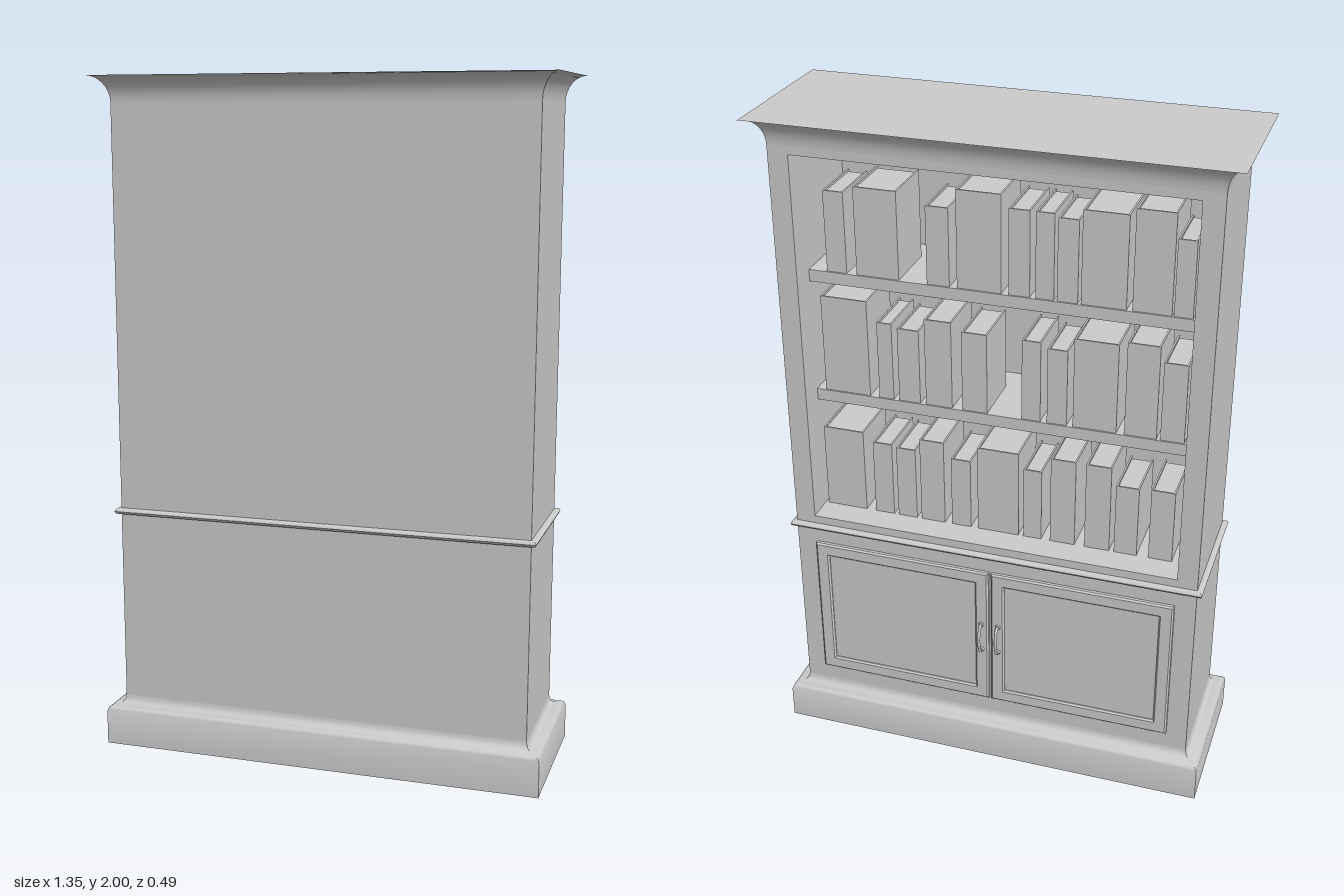
import * as THREE from 'three';
import { toCreasedNormals } from 'three/addons/utils/BufferGeometryUtils.js';

const W = 0.62, D = 0.19;        // half width and half depth of the carcass
const IN = 0.56, BACK = 0.16;    // half width and back plane of the open part
const mat = new THREE.MeshStandardMaterial({ color: 0xcccccc });

function add(parent, name, geometry, x = 0, y = 0, z = 0) {
  const m = new THREE.Mesh(geometry, mat);
  m.name = name;
  m.position.set(x, y, z);
  parent.add(m);
  return m;
}

// Box given by its min / max limits
function block(parent, name, x0, x1, y0, y1, z0, z1) {
  return add(parent, name, new THREE.BoxGeometry(x1 - x0, y1 - y0, z1 - z0),
    (x0 + x1) / 2, (y0 + y1) / 2, (z0 + z1) / 2);
}

// Moulding: a profile of [offset, y], bottom to top, mitred around the carcass
function moulding(profile) {
  const corners = [[1, 1], [1, -1], [-1, -1], [-1, 1]];
  const pos = [];
  const pt = ([o, y], c) => [corners[c % 4][0] * (W + o), y, corners[c % 4][1] * (D + o)];
  const quad = (a, b, c, d) => pos.push(...a, ...b, ...c, ...a, ...c, ...d);
  for (let i = 0; i < profile.length - 1; i++) {
    for (let c = 0; c < 4; c++) {
      quad(pt(profile[i], c), pt(profile[i], c + 1), pt(profile[i + 1], c + 1), pt(profile[i + 1], c));
    }
  }
  const low = profile[0], top = profile[profile.length - 1];
  quad(pt(top, 0), pt(top, 1), pt(top, 2), pt(top, 3));
  quad(pt(low, 3), pt(low, 2), pt(low, 1), pt(low, 0));
  const g = new THREE.BufferGeometry();
  g.setAttribute('position', new THREE.Float32BufferAttribute(pos, 3));
  return toCreasedNormals(g, 0.6);
}

// Quarter-circle hollow flaring outwards to the top
function cove(y0, y1, reach, n = 8) {
  return Array.from({ length: n + 1 }, (_, i) => {
    const a = (i / n) * Math.PI / 2;
    return [reach * (1 - Math.cos(a)), y0 + (y1 - y0) * Math.sin(a)];
  });
}

// Book: two covers, a spine facing the front and a lower block of pages
function book(parent, x, width, y, height) {
  const g = new THREE.Group();
  g.name = 'book';
  const h = width / 2, t = 0.005, z0 = -0.105, z1 = 0.075;
  block(g, 'spine', -h, h, 0, height, z0, z0 + t);
  for (const s of [-1, 1]) {
    const c = s * (h - t / 2);
    block(g, 'cover', c - t / 2, c + t / 2, 0, height, z0 + t, z1);
  }
  block(g, 'pages', -h + t, h - t, 0.005, height - 0.006, z0 + t, z1 - 0.006);
  g.position.set(x, y, 0);
  parent.add(g);
}

function rect(path, w, h) {
  path.moveTo(-w, -h);
  path.lineTo(w, -h);
  path.lineTo(w, h);
  path.lineTo(-w, h);
  path.closePath();
  return path;
}

// Door with a bevelled frame, sunk panel and bow handle; side is +1 or -1
function door(parent, side) {
  const g = new THREE.Group();
  g.name = side > 0 ? 'leftDoor' : 'rightDoor';
  const w = 0.277, h = 0.235, border = 0.042;
  const shape = rect(new THREE.Shape(), w, h);
  shape.holes.push(rect(new THREE.Path(), w - border, h - border));
  const bevel = 0.005;
  add(g, 'doorFrame', new THREE.ExtrudeGeometry(shape, {
    depth: 0.009, bevelThickness: bevel, bevelSize: bevel, bevelOffset: -bevel, bevelSegments: 1,
  }));
  const pw = w - border, ph = h - border;
  block(g, 'doorPanel', -pw - 0.004, pw + 0.004, -ph - 0.004, ph + 0.004, 0, 0.006);

  // Bow handle near the meeting edge
  const hx = side * (w - 0.022), front = 0.014;
  const curve = new THREE.CatmullRomCurve3([
    [-0.048, 0], [-0.042, 0.014], [-0.022, 0.022], [0, 0.024], [0.022, 0.022], [0.042, 0.014], [0.048, 0],
  ].map(([y, z]) => new THREE.Vector3(0, y, z)));
  add(g, 'handle', new THREE.TubeGeometry(curve, 24, 0.0045, 8), hx, 0, front);
  for (const s of [-1, 1]) {
    const foot = add(g, 'handleFoot', new THREE.CylinderGeometry(0.007, 0.009, 0.006, 12), hx, s * 0.047, front + 0.002);
    foot.rotation.x = Math.PI / 2;
  }
  g.rotation.y = Math.PI;
  g.position.set(side * 0.281, 0.435, -D);
  parent.add(g);
}

export function createModel() {
  const model = new THREE.Group();
  model.name = 'bookcase';

  // Carcass, open towards -z
  block(model, 'cupboard', -W, W, 0.12, 0.76, -D, D);
  block(model, 'topRail', -W, W, 1.9, 1.96, -D, D);
  block(model, 'backPanel', -IN, IN, 0.76, 1.9, BACK, D);
  block(model, 'leftSide', IN, W, 0.76, 1.9, -D, D);
  block(model, 'rightSide', -W, -IN, 0.76, 1.9, -D, D);

  // Mouldings
  add(model, 'plinth', moulding([[0.045, 0], [0.045, 0.1], [0.0435, 0.108], [0.04, 0.114], [0.034, 0.118],
    [0.018, 0.12], [0.01, 0.123], [0.004, 0.129], [0.001, 0.137], [0, 0.145]]));
  add(model, 'waistBand', moulding([[0, 0.717], [0.01, 0.718], [0.014, 0.721], [0.016, 0.726],
    [0.014, 0.731], [0.01, 0.734], [0, 0.735]]));
  add(model, 'crown', moulding(cove(1.925, 2, 0.053)));

  // Shelves
  const floors = [0.76, 1.157, 1.537];
  for (const y of floors.slice(1)) block(model, 'shelf', -IN, IN, y - 0.036, y, -0.11, BACK);

  // Books per shelf: [centre x, width, height]
  const rows = [
    [[0.487, 0.126, 0.267], [0.364, 0.06, 0.24], [0.29, 0.06, 0.234], [0.208, 0.075, 0.274], [0.118, 0.06, 0.226],
      [0.003, 0.126, 0.277], [-0.103, 0.055, 0.23], [-0.195, 0.075, 0.28], [-0.3, 0.075, 0.28],
      [-0.386, 0.068, 0.225], [-0.49, 0.07, 0.23]],
    [[0.463, 0.14, 0.3], [0.342, 0.045, 0.24], [0.27, 0.065, 0.23], [0.18, 0.08, 0.27], [0.072, 0.075, 0.247],
      [-0.096, 0.055, 0.248], [-0.172, 0.058, 0.233], [-0.282, 0.126, 0.274], [-0.414, 0.092, 0.285],
      [-0.505, 0.068, 0.24]],
    [[0.476, 0.06, 0.24], [0.353, 0.126, 0.26], [0.174, 0.066, 0.23], [0.055, 0.128, 0.286], [-0.06, 0.06, 0.25],
      [-0.132, 0.052, 0.25], [-0.196, 0.058, 0.24], [-0.297, 0.126, 0.27], [-0.43, 0.108, 0.29],
      [-0.515, 0.052, 0.22]],
  ];
  rows.forEach((row, i) => {
    for (const [x, w, h] of row) book(model, x, w, floors[i], h);
  });

  // Cupboard doors
  for (const s of [-1, 1]) door(model, -s);

  return model;
}
